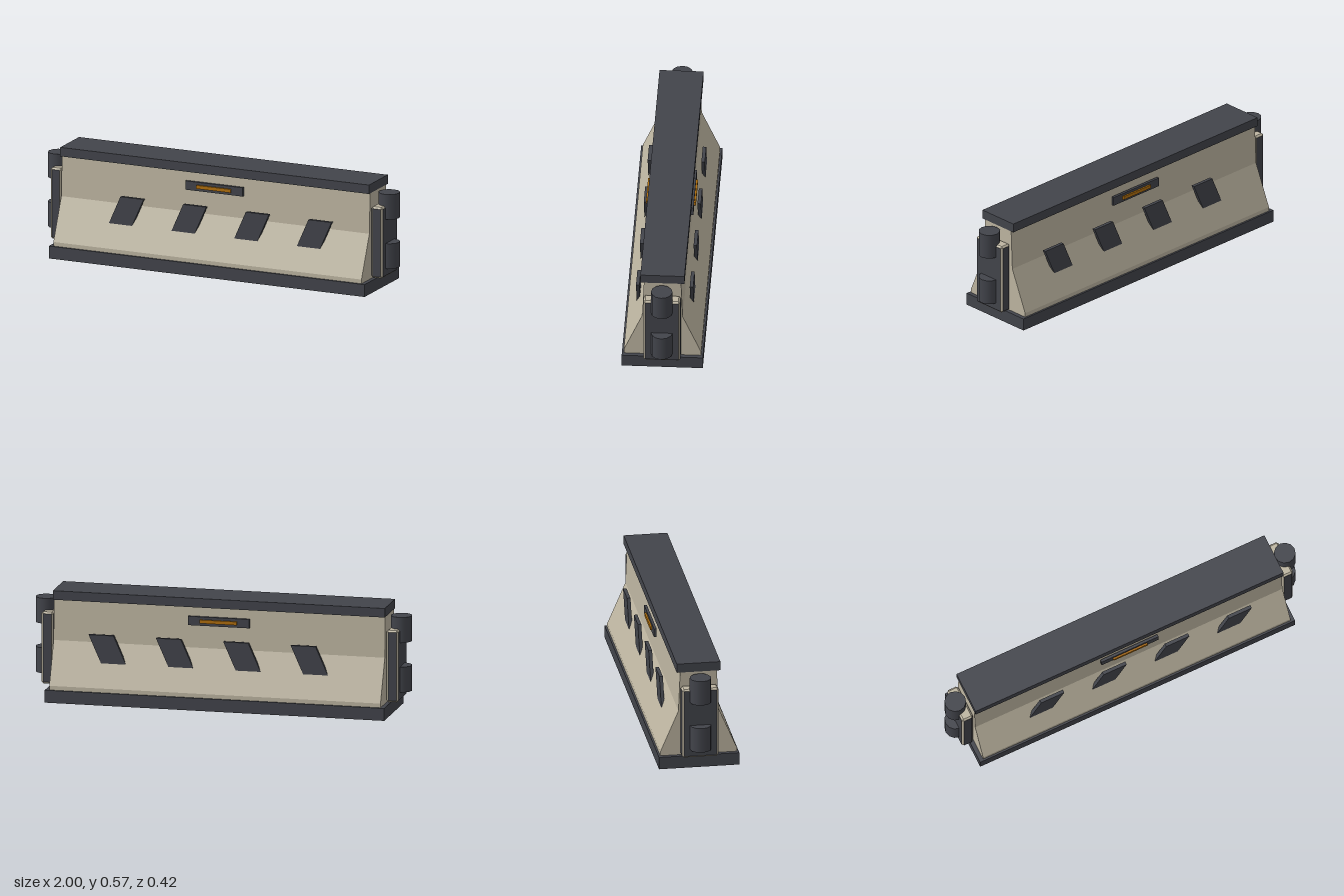
import * as THREE from 'three';
import { ConvexGeometry } from 'three/addons/geometries/ConvexGeometry.js';

const concrete = new THREE.MeshStandardMaterial({ color: 0xbdb5a1, flatShading: true });
const dark = new THREE.MeshStandardMaterial({ color: 0x42444b });
const amber = new THREE.MeshStandardMaterial({ color: 0xb06e0c });

function add(parent, name, geometry, material, x = 0, y = 0, z = 0) {
  const mesh = new THREE.Mesh(geometry, material);
  mesh.name = name;
  mesh.position.set(x, y, z);
  parent.add(mesh);
  return mesh;
}

const box = (w, h, d) => new THREE.BoxGeometry(w, h, d);

// Box with every edge cut at 45 degrees
function chamferedBox(w, h, d, c) {
  const points = [];
  for (const x of [-1, 1]) for (const y of [-1, 1]) for (const z of [-1, 1]) {
    const [a, b, e] = [w / 2, h / 2, d / 2];
    points.push(
      new THREE.Vector3(x * a, y * (b - c), z * (e - c)),
      new THREE.Vector3(x * (a - c), y * b, z * (e - c)),
      new THREE.Vector3(x * (a - c), y * (b - c), z * e));
  }
  return new ConvexGeometry(points);
}

function polygon(points) {
  return new THREE.Shape(points.map(([x, y]) => new THREE.Vector2(x, y)));
}

export function createModel() {
  const model = new THREE.Group();
  model.name = 'roadBarrier';

  // Sloped concrete wall, its section swept along x
  const half = [[0.2, 0.01], [0.2, 0.088], [0.105, 0.31], [0.095, 0.55]];
  const section = polygon([...half, ...half.slice().reverse().map(([z, y]) => [-z, y])]);
  const wall = new THREE.ExtrudeGeometry(section, { depth: 1.76, bevelEnabled: false });
  wall.translate(0, 0, -0.88).rotateY(Math.PI / 2);
  add(model, 'wall', wall, concrete);

  // Base and cap
  add(model, 'base', box(1.804, 0.066, 0.42), dark, 0, 0.033, 0);
  add(model, 'cap', box(1.764, 0.048, 0.228), dark, 0, 0.549, 0);

  // Slanted stripes and lamp on both long sides
  const stripe = new THREE.ExtrudeGeometry(
    polygon([[-0.1, 0.205], [0.032, 0.205], [0.1, 0.358], [-0.032, 0.358]]),
    { depth: 0.018, bevelEnabled: false });
  stripe.translate(0, 0, -0.009);
  for (const side of [1, -1]) {
    const face = new THREE.Group();
    face.name = side > 0 ? 'frontFittings' : 'backFittings';
    for (let i = 0; i < 4; i++) {
      add(face, 'stripe', stripe, dark, -0.49 + i * 0.358, 0, side * 0.139);
    }
    add(face, 'lampHousing', box(0.326, 0.047, 0.014), dark, 0, 0.454, side * 0.113);
    add(face, 'lamp', box(0.196, 0.018, 0.012), amber, 0, 0.454, side * 0.123);
    model.add(face);
  }

  // Connector at each end: block with pale chamfers, and two hinge barrels
  const [w, h, d, c] = [0.063, 0.38, 0.19, 0.009];
  for (const side of [1, -1]) {
    const end = new THREE.Group();
    end.name = side > 0 ? 'leftConnector' : 'rightConnector';
    const x = side * 0.9165;
    add(end, 'blockEdges', chamferedBox(w, h, d, c), concrete, x, 0.263, 0);
    const panels = [[w, h - 2 * c, d - 2 * c], [w - 2 * c, h, d - 2 * c], [w - 2 * c, h - 2 * c, d]];
    panels[0][0] += 0.001;
    panels[2][2] += 0.001;
    add(end, 'endPanel', box(...panels[0]), dark, x, 0.263, 0);
    add(end, 'sidePanels', box(...panels[2]), dark, x, 0.263, 0);
    for (const y of [0.186, 0.449]) {
      add(end, 'hingeBarrel', new THREE.CylinderGeometry(0.056, 0.056, 0.134, 12), dark, side * 0.944, y, 0);
    }
    model.add(end);
  }
  return model;
}
